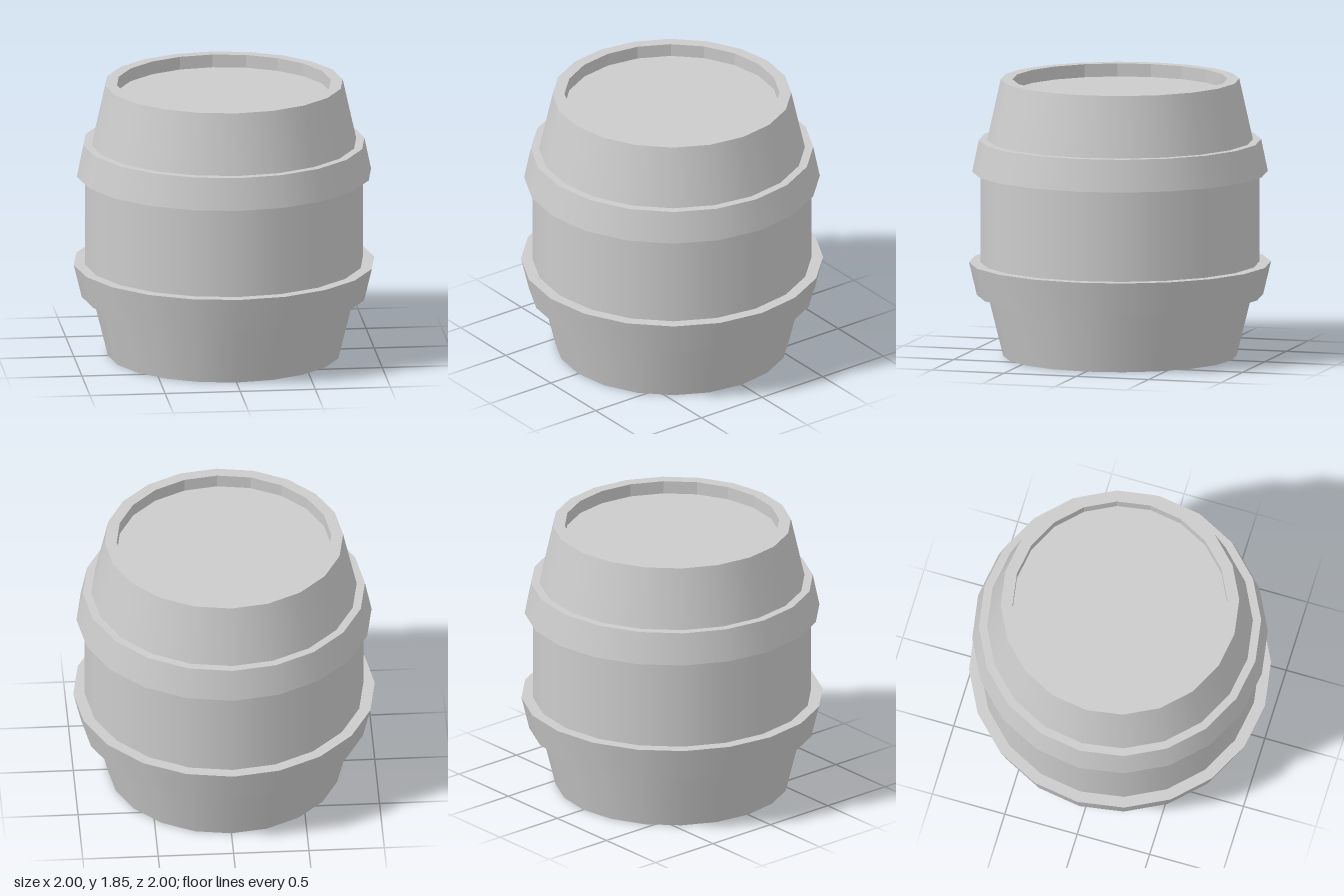
import * as THREE from 'three';
import { mergeGeometries } from 'three/addons/utils/BufferGeometryUtils.js';

const SIDES = 20;

// Revolve a profile of [radius, height] points, keeping a hard edge at every point.
function ringPart(name, profile, flat = false) {
  const rings = profile.slice(1).map((end, i) =>
    new THREE.LatheGeometry([new THREE.Vector2(...profile[i]), new THREE.Vector2(...end)], SIDES));
  const material = new THREE.MeshStandardMaterial({
    color: 0xcccccc, side: THREE.DoubleSide, flatShading: flat,
  });
  const mesh = new THREE.Mesh(mergeGeometries(rings), material);
  mesh.name = name;
  return mesh;
}

export function createModel() {
  const barrel = new THREE.Group();
  barrel.name = 'barrel';

  barrel.add(
    // Hollow body, open at the bottom, its sections joined by the hoops
    ringPart('lowerStaves', [[0.773, 0], [0.874, 0.408]]),
    ringPart('lowerHoop', [[0.874, 0.408], [0.948, 0.408], [1, 0.627], [0.924, 0.627]]),
    ringPart('middleStaves', [[0.924, 0.627], [0.924, 1.232]]),
    ringPart('upperHoop', [[0.924, 1.232], [0.979, 1.232], [0.935, 1.445], [0.88, 1.445]]),
    ringPart('upperStaves', [[0.88, 1.445], [0.79, 1.85]]),
    // Rim and sunken lid
    ringPart('topRim', [[0.79, 1.85], [0.712, 1.85]]),
    ringPart('innerRimWall', [[0.712, 1.85], [0.712, 1.763]], true),
    ringPart('lid', [[0.712, 1.763], [0, 1.763]]),
  );
  return barrel;
}
